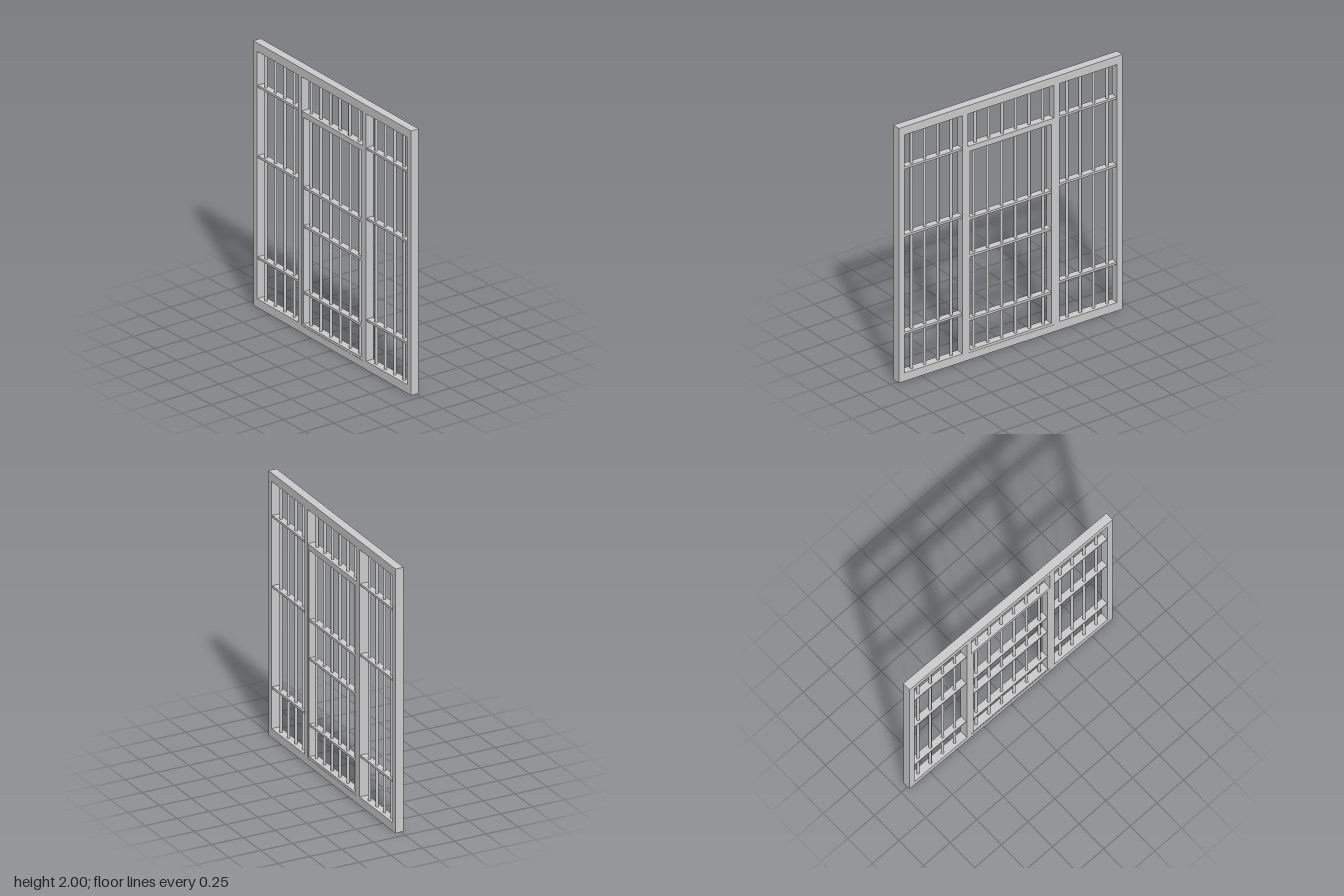
import * as THREE from 'three';

const DEPTH = 0.064;
const RAIL_DEPTH = 0.052;
const BAR_RADIUS = 0.011;

export function createModel() {
  const model = new THREE.Group();
  model.name = 'barredGate';
  const material = new THREE.MeshStandardMaterial({ color: 0xcccccc });

  function add(parent, name, geometry) {
    const mesh = new THREE.Mesh(geometry, material);
    mesh.name = name;
    parent.add(mesh);
    return mesh;
  }

  const rect = (Type, x0, x1, y0, y1) => new Type([
    new THREE.Vector2(x0, y0), new THREE.Vector2(x1, y0),
    new THREE.Vector2(x1, y1), new THREE.Vector2(x0, y1),
  ]);

  // Flat plate with rectangular openings, centred on z = 0
  function frame(parent, name, outer, openings, depth) {
    const shape = rect(THREE.Shape, ...outer);
    shape.holes = openings.map((o) => rect(THREE.Path, ...o));
    const geometry = new THREE.ExtrudeGeometry(shape, { depth, bevelEnabled: false });
    add(parent, name, geometry.translate(0, 0, -depth / 2));
  }

  // Evenly spaced round uprights; ends run slightly into the frame
  function bars(parent, name, first, last, count, y0, y1) {
    const height = y1 - y0 + 0.01;
    for (let i = 0; i < count; i++) {
      const bar = add(parent, name, new THREE.CylinderGeometry(BAR_RADIUS, BAR_RADIUS, height, 12));
      bar.position.set(THREE.MathUtils.lerp(first, last, i / (count - 1)), (y0 + y1) / 2, 0);
    }
  }

  // Flat crosspieces the bars pass through
  function rails(parent, name, x0, x1, heights, thickness) {
    for (const y of heights) {
      const rail = add(parent, name, new THREE.BoxGeometry(x1 - x0 + 0.006, thickness, RAIL_DEPTH));
      rail.position.set((x0 + x1) / 2, y, 0);
    }
  }

  // Surrounding frame with side, door and transom openings
  frame(model, 'outerFrame', [-0.94, 0.94, 0, 2], [
    [-0.895, -0.41, 0.065, 1.935],
    [-0.365, 0.36, 0.055, 1.935],
    [0.403, 0.893, 0.065, 1.935],
  ], DEPTH);

  // Fixed side panels
  const panels = [
    { name: 'rightPanel', x0: -0.895, x1: -0.41, first: -0.832, last: -0.495 },
    { name: 'leftPanel', x0: 0.403, x1: 0.893, first: 0.48, last: 0.813 },
  ];
  for (const p of panels) {
    const panel = new THREE.Group();
    panel.name = p.name;
    bars(panel, 'panelBar', p.first, p.last, 4, 0.065, 1.935);
    rails(panel, 'panelRail', p.x0, p.x1, [0.372, 1.138, 1.67], 0.017);
    model.add(panel);
  }

  // Door in the middle
  const door = new THREE.Group();
  door.name = 'door';
  frame(door, 'doorFrame', [-0.365, 0.36, 0.055, 1.677], [[-0.344, 0.34, 0.073, 1.635]], DEPTH - 0.004);
  bars(door, 'doorBar', -0.295, 0.289, 6, 0.073, 1.635);
  rails(door, 'doorRail', -0.344, 0.34, [0.31, 0.81, 1.102], 0.018);
  model.add(door);

  // Bars above the door
  const transom = new THREE.Group();
  transom.name = 'transom';
  bars(transom, 'transomBar', -0.291, 0.278, 6, 1.677, 1.935);
  model.add(transom);

  // The gate stands slightly turned
  model.rotation.y = -0.0133;
  return model;
}
